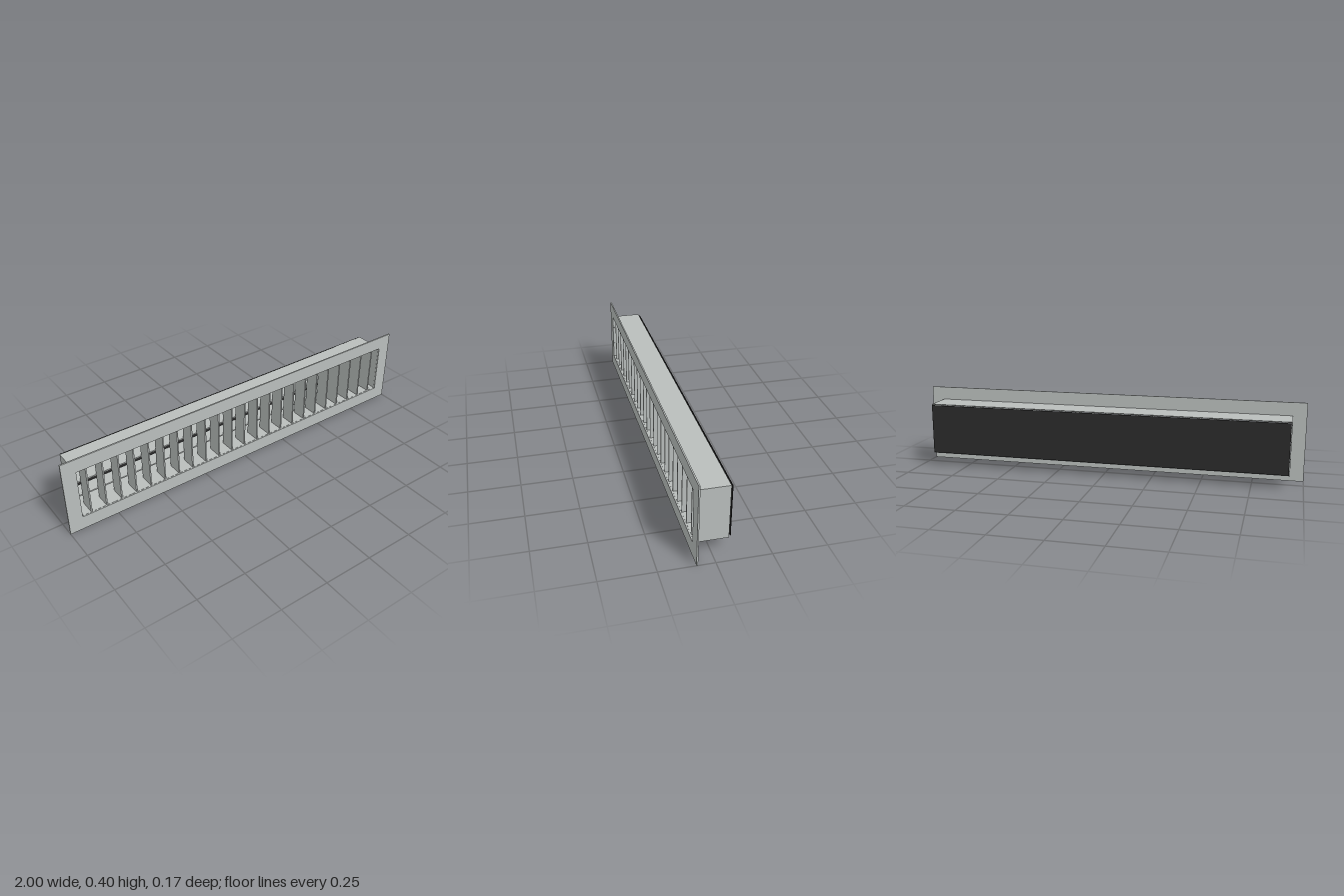
import * as THREE from 'three';

export function createModel() {
  const model = new THREE.Group();
  model.name = 'ventGrille';

  const metal = new THREE.MeshStandardMaterial({ color: 0xb9bebc });
  metal.name = 'galvanised grey';
  const dark = new THREE.MeshStandardMaterial({ color: 0x2b2b2b });
  dark.name = 'charcoal';

  const centreY = 0.2;

  // Rectangular ring extruded along z from z0 to z1
  function ring(name, outerW, outerH, innerW, innerH, z0, z1) {
    const corners = (w, h) => [[-w, -h], [w, -h], [w, h], [-w, h]]
      .map(([x, y]) => new THREE.Vector2(x / 2, y / 2));
    const shape = new THREE.Shape(corners(outerW, outerH));
    shape.holes.push(new THREE.Path(corners(innerW, innerH).reverse()));
    const geometry = new THREE.ExtrudeGeometry(shape, { depth: z1 - z0, bevelEnabled: false });
    const mesh = new THREE.Mesh(geometry, metal);
    mesh.name = name;
    mesh.position.set(0, centreY, z0);
    return mesh;
  }

  function box(name, w, h, d, x, y, z, material) {
    const mesh = new THREE.Mesh(new THREE.BoxGeometry(w, h, d), material);
    mesh.name = name;
    mesh.position.set(x, y, z);
    return mesh;
  }

  // Front flange and the open sleeve behind it
  model.add(ring('flange', 2, 0.4, 1.86, 0.26, 0.077, 0.084));
  model.add(ring('sleeve', 1.866, 0.266, 1.858, 0.258, -0.075, 0.077));

  // Upright fins in the front half of the sleeve
  const fins = new THREE.Group();
  fins.name = 'uprightFins';
  for (let i = -11; i <= 11; i++) {
    fins.add(box('uprightFin', 0.007, 0.259, 0.075, i * 0.08, centreY, 0.039, metal));
  }
  model.add(fins);

  // Level blades in the rear half
  const blades = new THREE.Group();
  blades.name = 'levelBlades';
  for (let i = -1; i <= 1; i++) {
    blades.add(box('levelBlade', 1.859, 0.007, 0.072, 0, centreY + i * 0.08, -0.037, metal));
  }
  model.add(blades);

  // Dark backing sheet, just clear of the sleeve
  model.add(box('backPanel', 1.856, 0.257, 0.003, 0, centreY, -0.0825, dark));

  return model;
}
